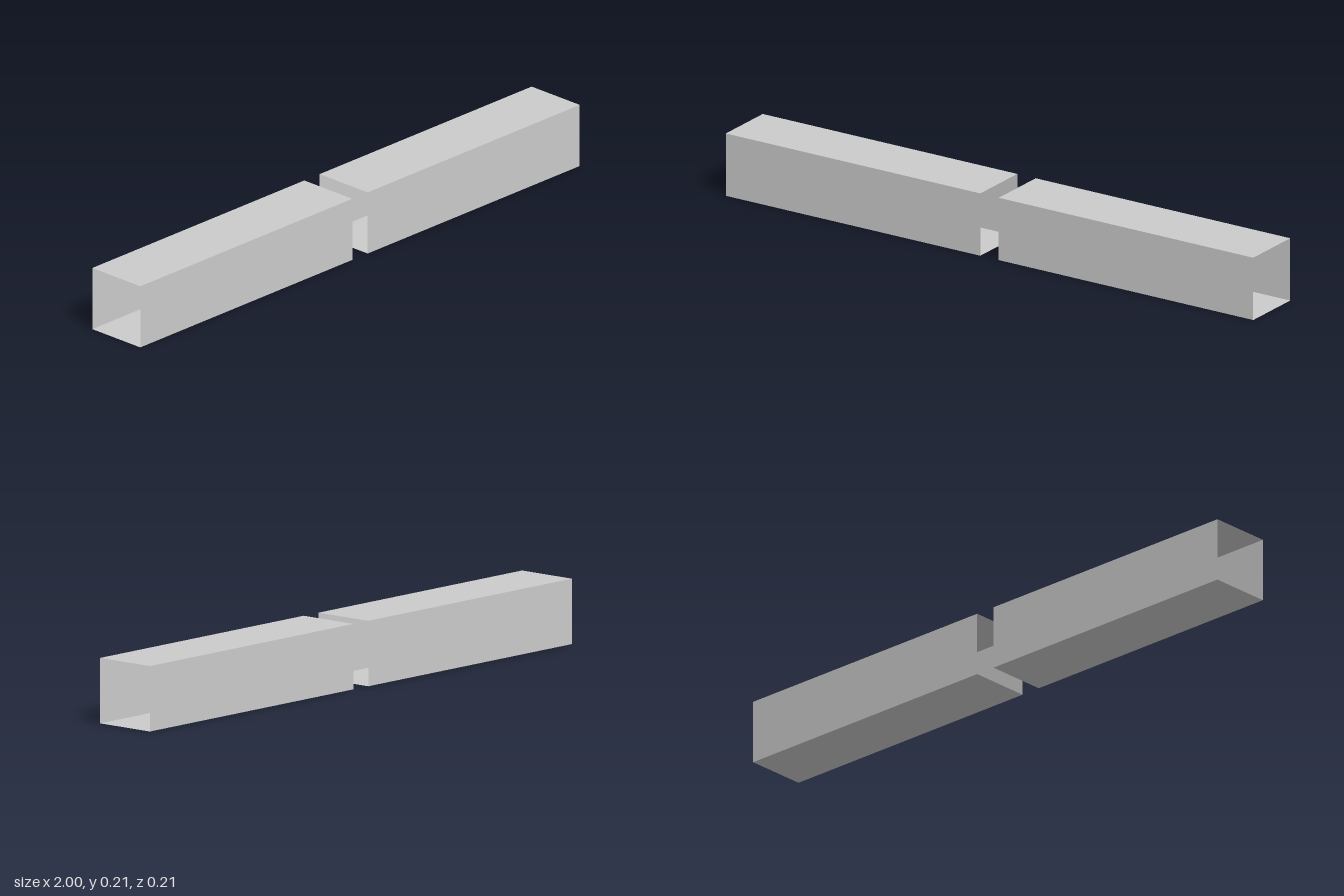
import * as THREE from 'three';

const SIZE = 0.21;    // height and depth of the square section
const GAP = 0.07;     // space between the two tubes
const LENGTH = (2 - GAP) / 2;

export function createModel() {
  const group = new THREE.Group();
  group.name = 'squareTubes';

  const material = new THREE.MeshStandardMaterial({
    color: 0xcccccc,
    flatShading: true,
    side: THREE.DoubleSide,
  });

  // Thin-walled square tube, open at both ends, lying along x
  const tube = new THREE.CylinderGeometry(
    SIZE / Math.SQRT2, SIZE / Math.SQRT2, LENGTH, 4, 1, true, Math.PI / 4
  ).rotateZ(Math.PI / 2);

  for (const [name, side] of [['leftTube', 1], ['rightTube', -1]]) {
    const mesh = new THREE.Mesh(tube, material);
    mesh.name = name;
    mesh.position.set(side * (GAP + LENGTH) / 2, SIZE / 2, 0);
    group.add(mesh);
  }
  return group;
}
